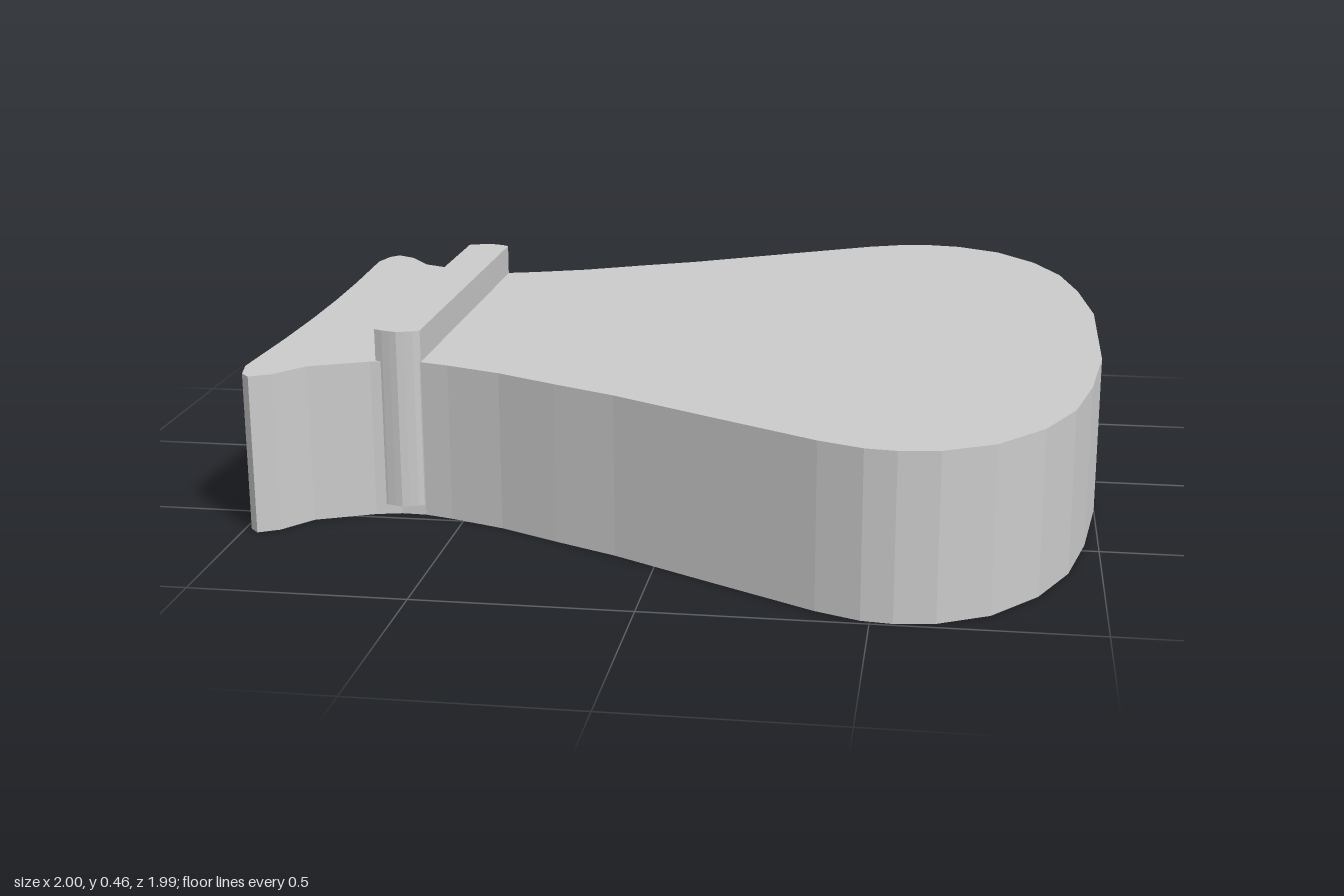
import * as THREE from 'three';

const material = new THREE.MeshStandardMaterial({ color: 0xcccccc, flatShading: true });

// Extrudes a plan outline, mirrored across z = 0, from y0 up to y1
function slab(name, half, y0, y1) {
  const mirrored = half.map(([x, z]) => [x, -z]).reverse();
  const shape = new THREE.Shape([...half, ...mirrored].map(([x, z]) => new THREE.Vector2(x, z)));
  const geometry = new THREE.ExtrudeGeometry(shape, { depth: y1 - y0, bevelEnabled: false });
  geometry.rotateX(-Math.PI / 2).translate(0, y0, 0);
  const mesh = new THREE.Mesh(geometry, material);
  mesh.name = name;
  return mesh;
}

export function createModel() {
  const group = new THREE.Group();
  group.name = 'tiedPouch';

  // Flared body with a pinched neck and a slightly hollow open end
  group.add(slab('body', [
    [-0.983, 0.1], [-0.988, 0.3], [-1, 0.555], [-0.985, 0.62], [-0.963, 0.643],
    [-0.915, 0.617], [-0.856, 0.54], [-0.72, 0.48], [-0.66, 0.466], [-0.6, 0.468],
    [-0.53, 0.488], [-0.396, 0.536], [-0.25, 0.608], [-0.1, 0.678], [0.15, 0.818],
    [0.38, 0.945], [0.48, 0.985], [0.55, 0.993], [0.64, 0.98], [0.754, 0.92],
    [0.856, 0.798], [0.925, 0.651], [0.968, 0.464], [1, 0.218],
  ], 0, 0.383));

  // Band around the neck, with softly bulging ends
  group.add(slab('neckBand', [
    [-0.71, 0.468], [-0.69, 0.477], [-0.67, 0.483], [-0.653, 0.487],
    [-0.635, 0.483], [-0.615, 0.476], [-0.6, 0.466],
  ], 0.025, 0.46));

  return group;
}
